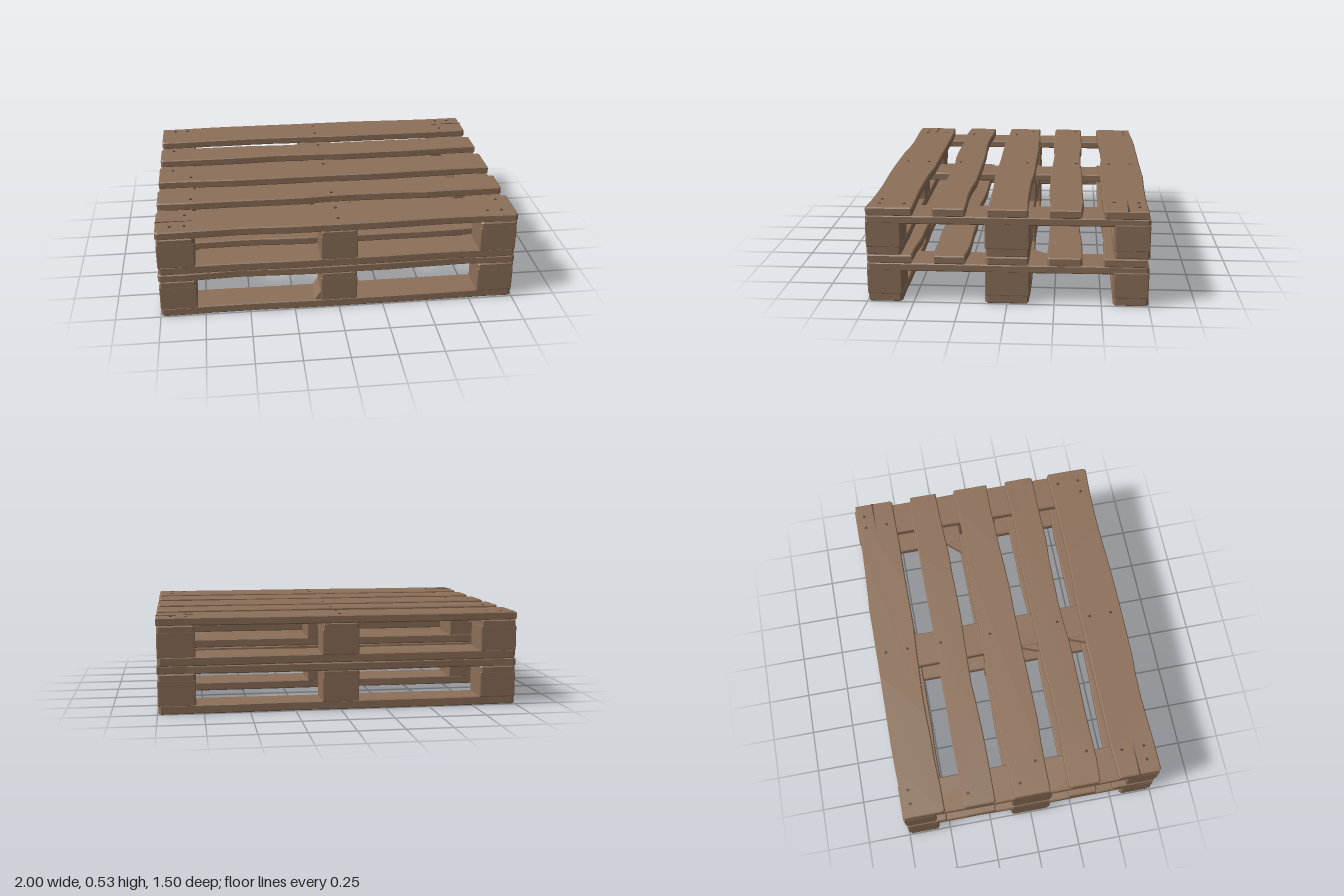
import * as THREE from 'three';
import { RoundedBoxGeometry } from 'three/addons/geometries/RoundedBoxGeometry.js';

const wood = new THREE.MeshStandardMaterial({ color: 0x8c6f58 });
wood.name = 'weathered wood';
const dark = new THREE.MeshStandardMaterial({ color: 0x4e3f33 });
dark.name = 'dark nail and crack';

// small seeded random generator
let seed = 7;
const rand = () => (seed = (seed * 16807) % 2147483647) / 2147483647;

function add(group, name, geometry, material = wood) {
  const mesh = new THREE.Mesh(geometry, material);
  mesh.name = name;
  group.add(mesh);
  return mesh;
}

// Plan polygon [x, z] raised from y0 to y1
function slab(points, y0, y1, bevel = 0) {
  const shape = new THREE.Shape(points.map(([x, z]) => new THREE.Vector2(x, -z)));
  const geo = new THREE.ExtrudeGeometry(shape, {
    depth: y1 - y0 - 2 * bevel, bevelEnabled: bevel > 0, bevelSegments: 1,
    bevelSize: bevel, bevelThickness: bevel, bevelOffset: -bevel,
  });
  geo.rotateX(-Math.PI / 2);
  geo.translate(0, y0 + bevel, 0);
  return geo;
}

// Plank along x with worn, wavy long edges and clipped corners
function plank(length, z0, z1, y0, y1, wear) {
  const h = length / 2, clip = 0.014, steps = 14, pts = [];
  const edge = (z, inward, dir) => {
    const phase = rand() * 6.28, freq = 3 + rand() * 3;
    pts.push([-dir * h, z + inward * clip]);
    for (let i = 0; i <= steps; i++) {
      const x = -dir * (h - clip) + dir * (2 * (h - clip) * i) / steps;
      const wave = Math.max(0, Math.sin(x * freq + phase)) * wear + rand() * wear * 0.4;
      pts.push([x, z + inward * wave]);
    }
    pts.push([dir * h, z + inward * clip]);
  };
  edge(z1, -1, 1);
  edge(z0, 1, -1);
  return slab(pts, y0, y1, 0.006);
}

const columns = [[-1, -0.79], [-0.105, 0.105], [0.79, 1]];
const rows = [[-0.75, -0.56], [-0.12, 0.12], [0.56, 0.75]];
const slats = [[-0.75, -0.5], [-0.4, -0.21], [-0.12, 0.115], [0.21, 0.4], [0.49, 0.75]];

function pallet(name) {
  const g = new THREE.Group();
  g.name = name;
  // bottom runners
  for (const [a, b] of rows) add(g, 'runner', plank(1.99, a, b, 0, 0.05, 0.006));
  // spacer blocks
  for (const [x0, x1] of columns) for (const [z0, z1] of rows) {
    const geo = new RoundedBoxGeometry(x1 - x0 - 0.004, 0.146, z1 - z0 - 0.004, 1, 0.008);
    add(g, 'block', geo).position.set((x0 + x1) / 2, 0.115, (z0 + z1) / 2);
  }
  // cross boards running front to back
  for (const [a, b] of columns) {
    add(g, 'crossBoard', plank(1.494, a, b, 0.175, 0.219, 0.005).rotateY(Math.PI / 2));
  }
  // deck slats
  for (const [a, b] of slats) add(g, 'deckSlat', plank(2, a, b, 0.217, 0.263, 0.013));
  return g;
}

export function createModel() {
  const model = new THREE.Group();
  model.name = 'stackedPallets';
  const lower = pallet('lowerPallet');
  const upper = pallet('upperPallet');
  upper.position.y = 0.262;
  model.add(lower, upper);

  // flared splinters on the cross boards
  add(lower, 'splinter', slab([[0.8, -0.21], [0.8, -0.11], [0.71, -0.11]], 0.178, 0.216));
  add(upper, 'splinter', slab([[-0.1, 0.11], [-0.1, 0.21], [-0.14, 0.21]], 0.178, 0.216));
  add(upper, 'splinter', slab([[-0.1, 0.4], [-0.1, 0.5], [-0.14, 0.5]], 0.178, 0.216));

  // flared foot of the front centre block
  const foot = new THREE.Shape([[-0.1, 0.045], [-0.1, 0.105], [-0.14, 0.045]].map((p) => new THREE.Vector2(...p)));
  add(lower, 'blockFoot', new THREE.ExtrudeGeometry(foot, { depth: 0.16, bevelEnabled: false })).position.z = 0.58;

  // nail heads on the deck
  const nails = [
    [-0.92, -0.69], [-0.84, -0.69], [0.84, -0.69], [0.92, -0.69], [0.84, -0.56],
    [0, -0.69], [0, -0.56], [0, -0.36], [0, -0.06], [0, 0.35], [0, 0.55], [0, 0.68],
    [-0.92, -0.36], [-0.92, -0.06], [-0.81, 0.05], [-0.81, 0.35], [-0.84, 0.55],
    [-0.92, 0.68], [-0.84, 0.68], [0.84, 0.68], [0.92, 0.68], [0.92, 0.55],
  ];
  for (const [x, z] of nails) {
    add(upper, 'nail', new THREE.CylinderGeometry(0.009, 0.009, 0.004, 8), dark).position.set(x, 0.263, z);
  }

  // split ends of the outer slats
  for (const [x, z, s] of [[1, -0.63, 1], [-1, 0.62, -1]]) {
    const pts = [[x, z - 0.005], [x - s * 0.2, z], [x, z + 0.005]];
    add(upper, 'crack', slab(pts, 0.261, 0.2645), dark);
  }
  return model;
}
